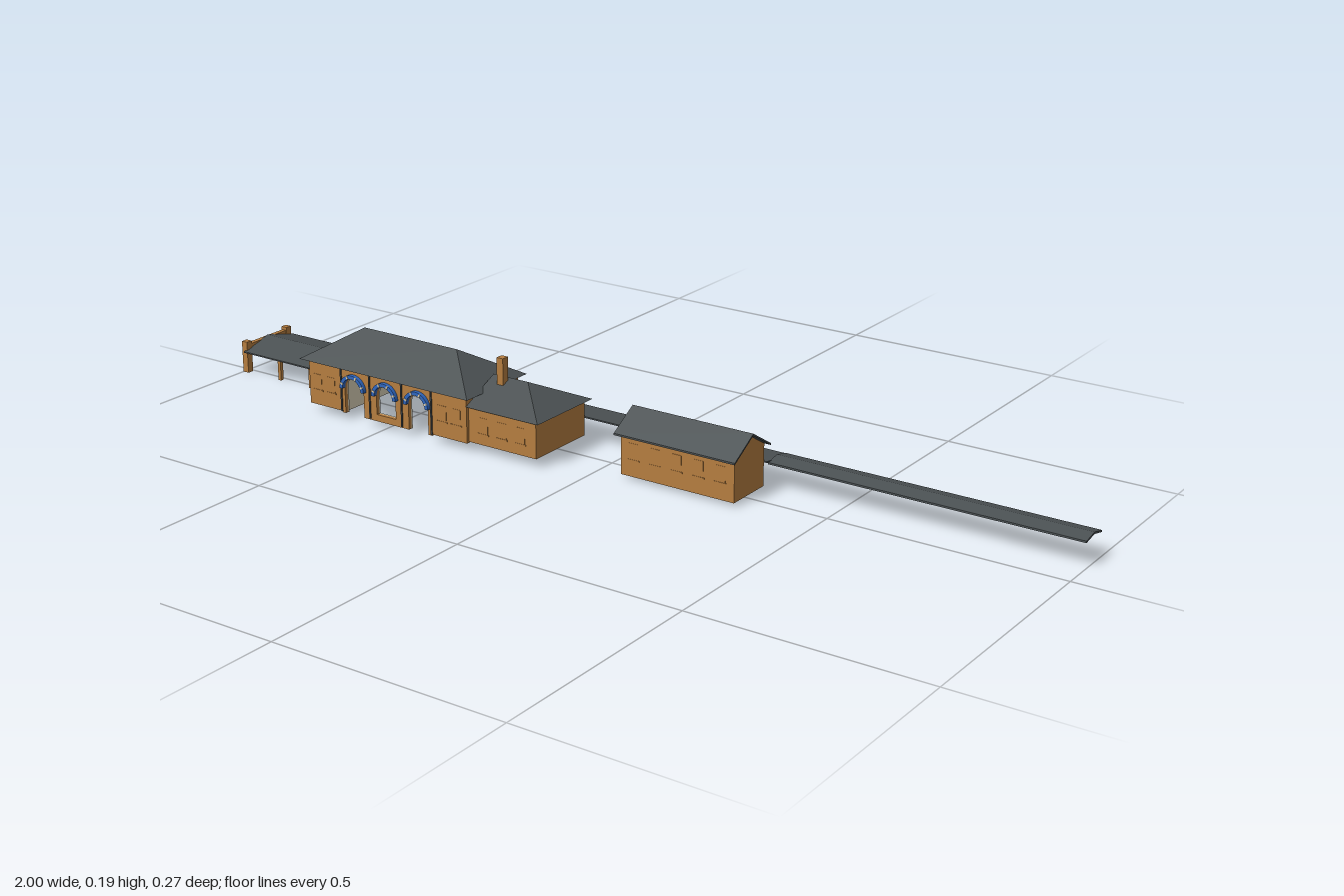
import * as THREE from 'three';

const mat = (name, color) => {
  const m = new THREE.MeshStandardMaterial({ color });
  m.name = name;
  return m;
};

export function createModel() {
  const brick = mat('brick brown', 0xb57d40);
  const slate = mat('slate grey', 0x4b5153);
  const blue = mat('arch blue', 0x2f66bd);
  const cream = mat('plaster cream', 0xd9cfb6);
  const model = new THREE.Group();
  model.name = 'railwayStation';

  const add = (name, geometry, material) => {
    const mesh = new THREE.Mesh(geometry, material);
    mesh.name = name;
    model.add(mesh);
    return mesh;
  };
  // Box given by its limits on each axis
  const box = (name, x0, x1, y0, y1, z0, z1, m = brick) =>
    add(name, new THREE.BoxGeometry(x1 - x0, y1 - y0, z1 - z0), m)
      .position.set((x0 + x1) / 2, (y0 + y1) / 2, (z0 + z1) / 2);
  // Cross-section of [z, y] points swept along x
  const prism = (name, pts, x0, x1, m) => {
    const shape = new THREE.Shape(pts.map(([z, y]) => new THREE.Vector2(-z, y)));
    const g = new THREE.ExtrudeGeometry(shape, { depth: x1 - x0, bevelEnabled: false });
    add(name, g.rotateY(Math.PI / 2).translate(x0, 0, 0), m);
  };
  // Thin sheet following a line of [z, y] points
  const sheet = (name, line, x0, x1, t = 0.003) =>
    prism(name, [...line, ...line.map(([z, y]) => [z, y - t]).reverse()], x0, x1, slate);
  // Hipped roof: eaves rectangle rising to a ridge from r0 to r1
  const hipRoof = (name, x0, x1, z0, z1, y0, y1, r0, r1, zr) => {
    const p = [[x0, y0, z1], [x1, y0, z1], [x1, y0, z0], [x0, y0, z0], [r0, y1, zr], [r1, y1, zr]];
    const faces = [0, 1, 5, 0, 5, 4, 1, 2, 5, 2, 3, 4, 2, 4, 5, 3, 0, 4, 0, 3, 2, 0, 2, 1];
    const g = new THREE.BufferGeometry();
    g.setAttribute('position', new THREE.Float32BufferAttribute(faces.flatMap(i => p[i]), 3));
    g.computeVertexNormals();
    add(name, g, slate);
  };
  // Raised window surround on a wall facing +z or -z
  const windowFrame = (x, y, z, w = 0.022, h = 0.034) => {
    const t = 0.0015;
    box('windowSill', x - w / 2 - 0.003, x + w / 2 + 0.003, y - h / 2 - 0.003, y - h / 2, z - t, z + t);
    box('windowPanel', x - w / 2, x + w / 2, y - h / 2, y + h / 2, z - t / 2, z + t / 2);
  };

  // Main building: two closed end blocks
  const zF = 0.12, zB = -0.053, wallTop = 0.119;
  const hall0 = -0.615, hall1 = -0.37;
  box('leftBlock', -0.705, hall0, 0.018, wallTop, zB, zF);
  box('rightBlock', hall1, -0.278, 0.018, wallTop, zB, zF);
  for (const z of [zF, zB]) for (const x of [-0.682, -0.645, -0.342, -0.305]) windowFrame(x, 0.07, z);

  // Open hall: arcaded walls front and back, plastered inside
  const arches = [-0.58, -0.493, -0.406];
  const r = 0.026, spring = 0.073;
  const arcade = (name, z, depth, m) => {
    const s = new THREE.Shape();
    s.moveTo(hall0, wallTop);
    s.lineTo(hall0, 0.015);
    arches.forEach((x, i) => {
      if (i === 1) return;
      s.lineTo(x - r, 0.015);
      s.lineTo(x - r, spring);
      s.absarc(x, spring, r, Math.PI, 0, true);
      s.lineTo(x + r, 0.015);
    });
    s.lineTo(hall1, 0.015);
    s.lineTo(hall1, wallTop);
    const hole = new THREE.Path();
    hole.moveTo(arches[1] - r, 0.03);
    hole.lineTo(arches[1] + r, 0.03);
    hole.lineTo(arches[1] + r, spring);
    hole.absarc(arches[1], spring, r, 0, Math.PI, false);
    hole.closePath();
    s.holes.push(hole);
    const g = new THREE.ExtrudeGeometry(s, { depth, bevelEnabled: false, curveSegments: 12 });
    add(name, g.translate(0, 0, z), m);
  };
  arcade('frontArcade', zF - 0.008, 0.008, brick);
  arcade('frontArcadeLining', zF - 0.012, 0.004, cream);
  arcade('backArcade', zB, 0.008, brick);
  arcade('backArcadeLining', zB + 0.008, 0.004, cream);
  box('hallLeftLining', hall0, hall0 + 0.003, 0.015, wallTop, zB + 0.01, zF - 0.01, cream);
  box('hallRightLining', hall1 - 0.003, hall1, 0.015, wallTop, zB + 0.01, zF - 0.01, cream);
  box('hallCeiling', hall0, hall1, wallTop - 0.004, wallTop - 0.001, zB + 0.01, zF - 0.01, cream);

  // Blue arch rings with small cream stones
  const ring = new THREE.Shape();
  ring.absarc(0, 0, r + 0.007, 0, Math.PI, false);
  ring.absarc(0, 0, r - 0.001, Math.PI, 0, true);
  const ringGeo = d => new THREE.ExtrudeGeometry(ring, { depth: d, bevelEnabled: false, curveSegments: 12 });
  for (const x of arches) {
    add('frontArchRing', ringGeo(0.009), blue).position.set(x, spring, zF);
    add('backArchRing', ringGeo(0.005), blue).position.set(x, spring, zB - 0.005);
    for (let i = 1; i < 8; i += 2) {
      const a = i * Math.PI / 8;
      const stone = add('archStone', new THREE.BoxGeometry(0.008, 0.004, 0.002), cream);
      stone.position.set(x + Math.cos(a) * (r + 0.003), spring + Math.sin(a) * (r + 0.003), zF + 0.009);
      stone.rotation.z = a;
    }
  }
  for (const x of [-0.615, -0.5365, -0.4495, -0.37])
    box('drainPipe', x - 0.0015, x + 0.0015, 0.018, wallTop, zF, zF + 0.003, slate);

  // Main roof
  hipRoof('mainRoof', -0.72, -0.265, -0.067, 0.134, 0.118, 0.18, -0.62, -0.37, 0.034);

  // Side wing with half-hipped roof and chimney
  box('wing', -0.279, -0.107, 0.02, 0.1, zB, 0.113);
  hipRoof('wingRoof', -0.279, -0.096, -0.066, 0.122, 0.098, 0.143, -0.278, -0.19, 0.028);
  box('chimney', -0.252, -0.236, 0.1, 0.19, 0.034, 0.051);
  for (const x of [-0.24, -0.193, -0.146]) {
    windowFrame(x, 0.062, 0.113);
    windowFrame(x, 0.062, zB);
  }

  // Detached gabled building
  prism('goodsHouse', [[0.055, 0.008], [0.055, 0.098], [0, 0.13], [-0.053, 0.098], [-0.053, 0.008]], 0.06, 0.325, brick);
  sheet('goodsHouseRoof', [[0.066, 0.096], [0, 0.136], [-0.066, 0.096]], 0.05, 0.332, 0.004);
  for (let i = 0; i < 5; i++) {
    windowFrame(0.09 + i * 0.051, 0.062, 0.055);
    windowFrame(0.09 + i * 0.051, 0.062, zB);
  }

  // Platform canopies
  sheet('endCanopy', [[0.025, 0.051], [-0.053, 0.07], [-0.133, 0.051]], -0.99, -0.71);
  sheet('platformCanopy', [[-0.053, 0.061], [-0.133, 0.052]], -0.715, 0.332);
  sheet('longCanopy', [[-0.06, 0.057], [-0.094, 0.063], [-0.128, 0.055]], 0.33, 1, 0.004);

  // End frame and canopy posts
  for (const z of [-0.117, 0.012]) {
    box('endPost', -1, -0.985, 0, 0.072, z - 0.0075, z + 0.0075);
    for (const x of [-0.893, -0.802]) box('canopyPost', x - 0.004, x + 0.004, 0, 0.053, z - 0.004, z + 0.004);
  }
  box('endBeam', -0.998, -0.987, 0.05, 0.065, -0.117, 0.012);

  return model;
}
